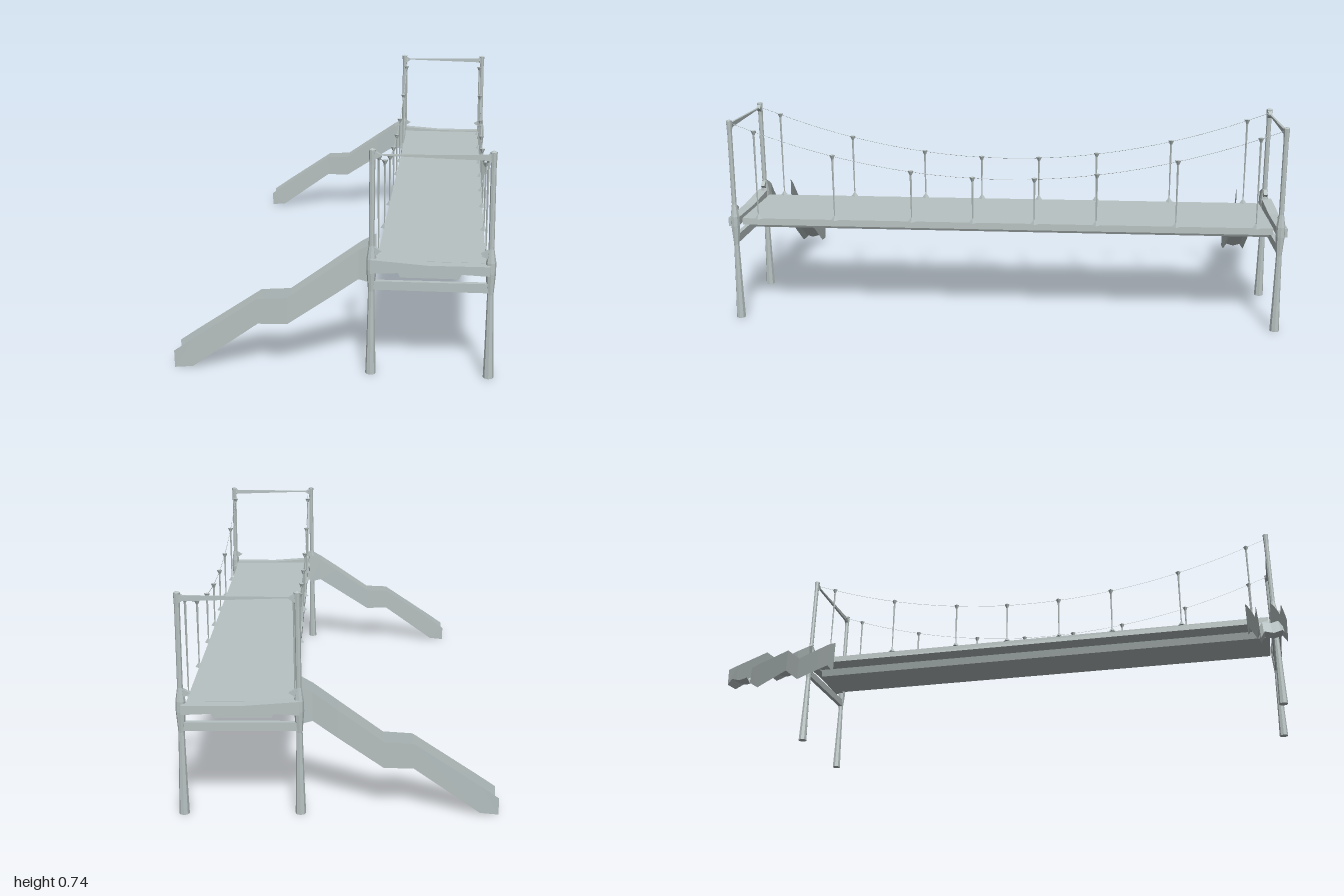
import * as THREE from 'three';

const steel = new THREE.MeshStandardMaterial({ color: 0xb8c2c2 });
steel.name = 'pale grey steel';
steel.flatShading = true;
steel.side = THREE.DoubleSide;

function add(parent, name, geometry, x = 0, y = 0, z = 0) {
  const mesh = new THREE.Mesh(geometry, steel);
  mesh.name = name;
  mesh.position.set(x, y, z);
  parent.add(mesh);
  return mesh;
}

// Open skin through a list of equally long cross-sections
function loft(sections) {
  const n = sections[0].length, index = [];
  for (let i = 0; i < sections.length - 1; i++) {
    for (let j = 0; j < n - 1; j++) {
      const a = i * n + j, b = a + n;
      index.push(a, b, a + 1, b, b + 1, a + 1);
    }
  }
  const g = new THREE.BufferGeometry();
  g.setAttribute('position', new THREE.Float32BufferAttribute(sections.flat(2), 3));
  g.setIndex(index);
  g.computeVertexNormals();
  return g;
}

// Flat outline in x and y, extruded along z and centred on it
function plate(points, depth) {
  const shape = new THREE.Shape(points.map(p => new THREE.Vector2(...p)));
  const g = new THREE.ExtrudeGeometry(shape, { depth, bevelEnabled: false });
  return g.translate(0, 0, -depth / 2);
}

// Tower post, flared at the foot and at deck level
function postGeometry() {
  const profile = [[0, 0], [0.017, 0], [0.014, 0.1], [0.01, 0.28], [0.016, 0.35],
    [0.016, 0.385], [0.009, 0.43], [0.009, 0.69], [0.011, 0.735], [0, 0.74]];
  return new THREE.LatheGeometry(profile.map(p => new THREE.Vector2(...p)), 8);
}

// Channel stations: x, bottom y, top y, inner z, outer z
const stations = [
  [-0.515, 0.0, 0.058, 0.9, 0.99],
  [-0.455, 0.006, 0.1, 0.9, 0.99],
  [-0.24, 0.16, 0.245, 0.9, 0.988],
  [-0.145, 0.161, 0.25, 0.895, 0.985],
  [0.0, 0.258, 0.352, 0.88, 0.973],
  [0.08, 0.311, 0.408, 0.87, 0.96],
  [0.13, 0.3, 0.435, 0.865, 0.965],
];

function makeSlide() {
  const slide = new THREE.Group();
  slide.name = 'slide';
  add(slide, 'slideChannel', loft(stations.map(([x, lo, hi, zi, zo]) => [
    [x, hi, zo], [x, lo, zo - 0.002], [x, lo + 0.022, zo - 0.016],
    [x, lo + 0.014, (zi + zo) / 2],
    [x, lo + 0.022, zi + 0.016], [x, lo, zi + 0.002], [x, hi, zi],
  ])));
  return slide;
}

function makeTower() {
  const tower = new THREE.Group();
  tower.name = 'tower';
  for (const side of [-1, 1]) {
    const x = side < 0 ? 0.12 : 0.495;
    const post = add(tower, 'post', postGeometry(), x, 0, 0.972);
    post.rotation.z = side * 0.006;
    // Wedge brackets at the two rails
    for (const y of [0.718, 0.412]) {
      const d = -side;
      add(tower, 'bracket', plate([[0, -0.022], [d * 0.034, 0], [0, 0.02]], 0.014), x, y, 0.972);
    }
  }
  add(tower, 'topRail', plate([[0.13, 0.718], [0.49, 0.708], [0.49, 0.726], [0.13, 0.721]], 0.008), 0, 0, 0.972);
  add(tower, 'deckRail', plate([[0.12, 0.345], [0.3, 0.355], [0.49, 0.347], [0.49, 0.378],
    [0.3, 0.377], [0.12, 0.39]], 0.036), 0, 0, 0.98);
  add(tower, 'lowerBeam', plate([[0.12, 0.286], [0.495, 0.286], [0.495, 0.316], [0.12, 0.314]], 0.016), 0, 0, 0.972);
  return tower;
}

// Sagging hand line, matched by the stanchion heights
const lineHeight = z => 0.535 + 0.2 * z * z;

function makeHandLine(x) {
  const line = new THREE.Group();
  line.name = 'handLine';
  for (const z of [-0.89, -0.61, -0.33, -0.11, 0.11, 0.33, 0.61, 0.89]) {
    const top = lineHeight(z), h = top - 0.375;
    add(line, 'stanchion', new THREE.CylinderGeometry(0.004, 0.002, h, 4), x, 0.375 + h / 2, z);
    add(line, 'stanchionFoot', new THREE.ConeGeometry(0.014, 0.02, 4), x, 0.383, z);
    add(line, 'stanchionCap', new THREE.ConeGeometry(0.011, 0.024, 4), x, top - 0.008, z).rotation.x = Math.PI;
  }
  const points = [];
  for (let i = 0; i <= 12; i++) {
    const z = -0.97 + i * 1.94 / 12;
    points.push(new THREE.Vector3(x, lineHeight(z), z));
  }
  add(line, 'rope', new THREE.TubeGeometry(new THREE.CatmullRomCurve3(points), 24, 0.001, 3));
  return line;
}

export function createModel() {
  const model = new THREE.Group();
  model.name = 'bridgeWithSlides';

  // Long deck with a stiffening keel underneath
  add(model, 'deck', plate([[0.137, 0.374], [0.137, 0.35], [0.2, 0.345], [0.21, 0.318],
    [0.395, 0.318], [0.41, 0.345], [0.478, 0.35], [0.478, 0.374]], 1.9));

  for (const x of [0.138, 0.478]) model.add(makeHandLine(x));

  // A tower and a slide at each end
  for (const end of [1, -1]) {
    const group = new THREE.Group();
    group.name = end > 0 ? 'frontEnd' : 'backEnd';
    group.add(makeTower(), makeSlide());
    group.scale.z = end;
    model.add(group);
  }
  return model;
}
